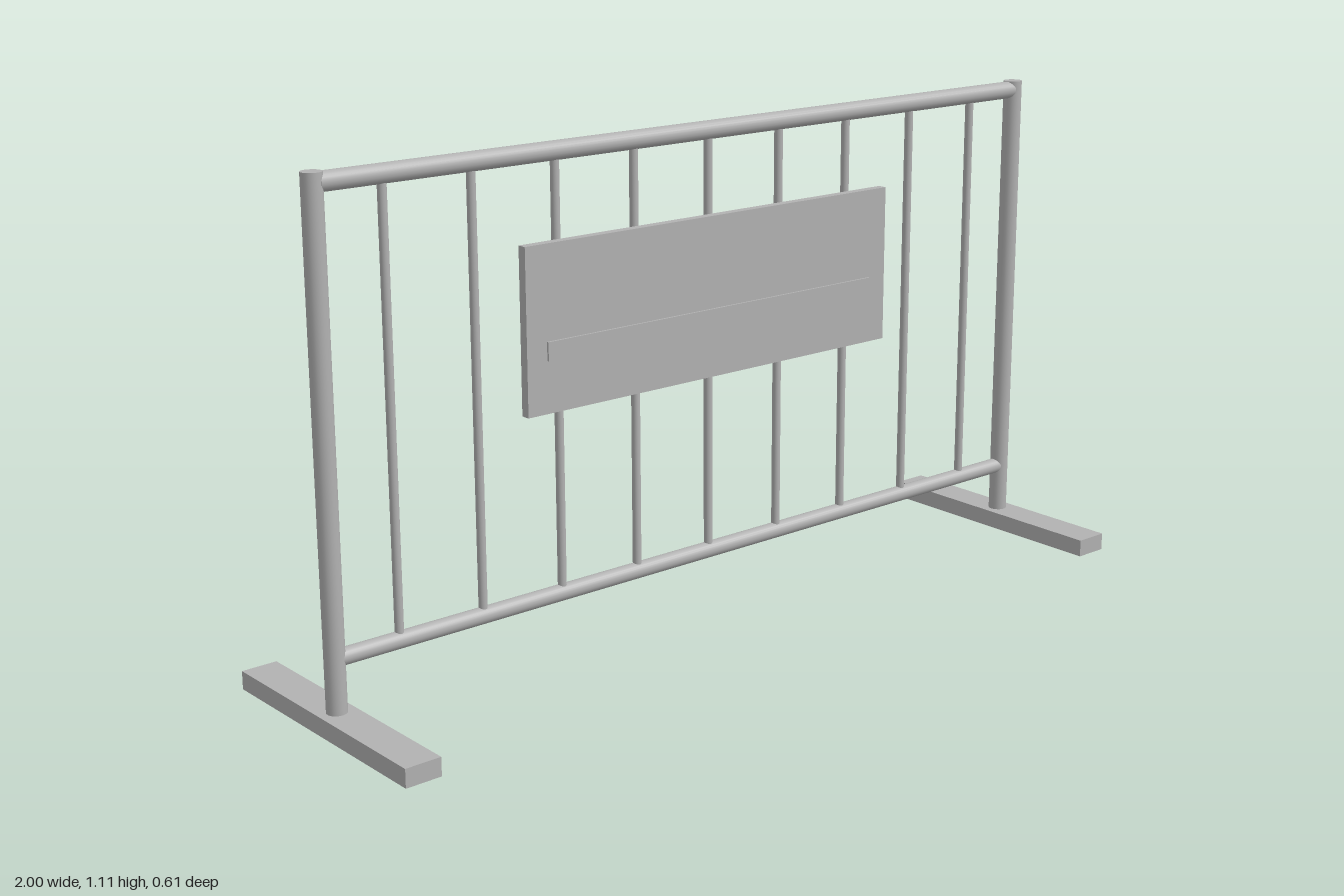
import * as THREE from 'three';

export function createModel() {
  const group = new THREE.Group();
  const steel = new THREE.MeshStandardMaterial({ color: 0xb2b2b2 });
  steel.name = 'grey steel';

  const add = (name, geometry, x, y, z) => {
    const mesh = new THREE.Mesh(geometry, steel);
    mesh.name = name;
    mesh.position.set(x, y, z);
    group.add(mesh);
    return mesh;
  };
  const tube = (r, length, sides = 24) => new THREE.CylinderGeometry(r, r, length, sides);

  // Upright posts standing on flat feet
  for (const [side, s] of [['left', 1], ['right', -1]]) {
    add(side + 'Foot', new THREE.BoxGeometry(0.08, 0.04, 0.606), s * 0.96, 0.02, 0);
    add(side + 'Post', tube(0.0215, 1.071), s * 0.96, 0.5755, 0);
  }

  // Horizontal rails
  add('topRail', tube(0.02, 1.9), 0, 1.09, 0).rotation.z = Math.PI / 2;
  add('bottomRail', tube(0.018, 1.9), 0, 0.152, 0).rotation.z = Math.PI / 2;

  // Nine thin infill bars
  for (let i = -4; i <= 4; i++) add('infillBar', tube(0.0095, 0.94, 16), i * 0.2025, 0.621, 0);

  // Blank sign plate with a raised strip
  add('signPlate', new THREE.BoxGeometry(1.01, 0.353, 0.021), 0, 0.735, 0.0205);
  add('signStrip', new THREE.BoxGeometry(0.91, 0.04, 0.005), 0, 0.69, 0.0335);
  return group;
}
